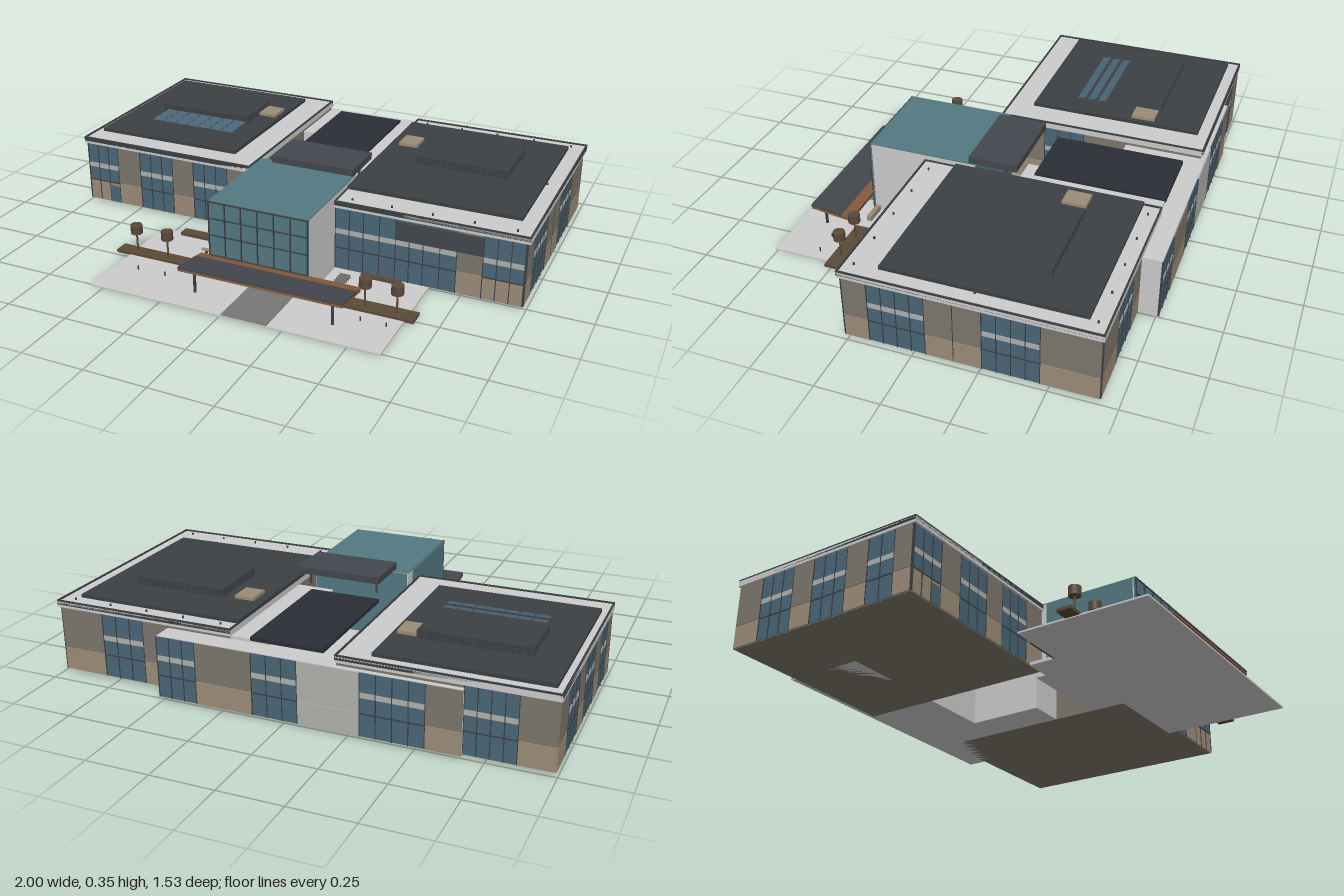
import * as THREE from 'three';

const material = (color) => new THREE.MeshStandardMaterial({ color });
const M = {
  grey: material(0xcccccc), pale: material(0xb0b0ad), taupe: material(0x7d776c), tan: material(0x9c8c78),
  glass: material(0x4a6677), lobbyGlass: material(0x547882), dark: material(0x3c4042),
  slate: material(0x43474d), black: material(0x2b2e35), wood: material(0x5a4a38),
  copper: material(0x85593a), path: material(0x777777),
};

// Box given by its extents along x, y and z
function block(parent, name, [x0, x1], [y0, y1], [z0, z1], mat) {
  const mesh = new THREE.Mesh(new THREE.BoxGeometry(x1 - x0, y1 - y0, z1 - z0), mat);
  mesh.position.set((x0 + x1) / 2, (y0 + y1) / 2, (z0 + z1) / 2);
  mesh.name = name;
  parent.add(mesh);
  return mesh;
}

// Upright round part
function post(parent, name, x, z, [y0, y1], r, mat, sides = 10) {
  const mesh = new THREE.Mesh(new THREE.CylinderGeometry(r, r, y1 - y0, sides), mat);
  mesh.position.set(x, (y0 + y1) / 2, z);
  mesh.name = name;
  parent.add(mesh);
}

// Row of bays on one wall: axis is the wall's normal, dir its sign.
// Bay codes: G glazing, H glazing above a solid base, T cladding, P pale cladding.
function facade(parent, name, axis, dir, plane, top, edges, codes) {
  const g = new THREE.Group();
  g.name = name;
  const panel = (part, u, y, mat, depth) => {
    const d = [plane - 0.002, plane + 0.002];
    d[dir > 0 ? 1 : 0] = plane + dir * depth;
    if (axis === 'z') block(g, part, u, y, d, mat);
    else block(g, part, d, y, u, mat);
  };
  [...codes].forEach((code, i) => {
    const [a, b] = [edges[i], edges[i + 1]];
    if (code === 'T' || code === 'P') {
      panel('upperCladding', [a, b], [0.107, top], code === 'T' ? M.taupe : M.pale, 0.005);
      panel('baseCladding', [a, b], [0.015, 0.105], code === 'T' ? M.tan : M.pale, 0.005);
      panel('claddingJoint', [b - 0.0015, b + 0.0015], [0.015, top], M.dark, 0.006);
      return;
    }
    panel('upperWindow', [a, b], [0.185, top], M.glass, 0.003);
    panel('spandrel', [a, b], [0.165, 0.185], M.pale, 0.005);
    panel('middleWindow', [a, b], [0.107, 0.165], M.glass, 0.003);
    panel('transom', [a, b], [0.102, 0.107], M.dark, 0.005);
    panel('base', [a, b], [0.015, 0.102], code === 'H' ? M.tan : M.glass, 0.003);
    const n = Math.max(2, Math.round((b - a) / 0.054));
    for (let k = 0; k <= n; k++) {
      const u = a + ((b - a) * k) / n;
      panel('mullion', [u - 0.0015, u + 0.0015], [0.015, top], M.dark, 0.006);
    }
  });
  parent.add(g);
}

// Flat roof with a dark rim, raised membrane, plant enclosure and hatch
function roof(parent, x, z, membrane, plant, hatch) {
  const g = new THREE.Group();
  g.name = 'wingRoof';
  block(g, 'roofSlab', x, [0.275, 0.298], z, M.grey);
  const t = 0.006;
  for (const e of [[x[0], x[0] + t], [x[1] - t, x[1]]]) block(g, 'roofRim', e, [0.285, 0.304], z, M.dark);
  for (const e of [[z[0], z[0] + t], [z[1] - t, z[1]]]) block(g, 'roofRim', x, [0.285, 0.304], e, M.dark);
  block(g, 'roofMembrane', membrane[0], [0.298, 0.312], membrane[1], M.dark);
  block(g, 'plantEnclosure', plant[0], [0.312, 0.345], plant[1], M.dark);
  for (let k = 0; k <= 14; k++) {
    const u = plant[0][0] + ((plant[0][1] - plant[0][0]) * k) / 14;
    block(g, 'plantRib', [u - 0.002, u + 0.002], [0.314, 0.343], [plant[1][0] - 0.003, plant[1][1] + 0.003], M.slate);
  }
  block(g, 'roofHatch', hatch[0], [0.312, 0.325], hatch[1], M.tan);
  parent.add(g);
}

export function createModel() {
  const model = new THREE.Group();
  model.name = 'officeBuilding';

  // West wing
  const west = new THREE.Group();
  west.name = 'westWing';
  model.add(west);
  block(west, 'wingBody', [-0.99, -0.205], [0.012, 0.28], [-0.742, 0.1], M.taupe);
  facade(west, 'frontFacade', 'z', 1, 0.1, 0.275, [-0.99, -0.84, -0.73, -0.57, -0.47, -0.31, -0.205], 'HTGTGT');
  facade(west, 'sideFacade', 'x', -1, -0.99, 0.275, [-0.742, -0.62, -0.46, -0.36, -0.2, -0.1, 0.02, 0.1], 'TGTGTGT');
  facade(west, 'rearFacade', 'z', -1, -0.742, 0.275, [-0.99, -0.86, -0.67], 'TG');
  facade(west, 'courtFacade', 'x', 1, -0.205, 0.275, [-0.42, -0.25, -0.08, 0.1], 'TGT');
  block(west, 'sideDoorGlass', [-0.89, -0.84], [0.015, 0.09], [0.1, 0.106], M.glass);
  roof(west, [-1, -0.2], [-0.75, 0.113], [[-0.97, -0.32], [-0.7, 0.01]],
    [[-0.84, -0.42], [-0.52, -0.29]], [[-0.42, -0.34], [-0.51, -0.415]]);
  // Rows of solar panels
  for (let r = 0; r < 3; r++) for (let c = 0; c < 7; c++) {
    const x = -0.815 + c * 0.057, z = -0.28 + r * 0.045;
    const p = block(west, 'solarPanel', [x, x + 0.052], [0.32, 0.323], [z, z + 0.034], M.glass);
    p.rotation.x = 0.2;
    block(west, 'solarPanelStand', [x + 0.02, x + 0.03], [0.31, 0.322], [z + 0.012, z + 0.018], M.dark);
  }

  // East wing
  const east = new THREE.Group();
  east.name = 'eastWing';
  model.add(east);
  block(east, 'wingBody', [0.245, 0.985], [0.012, 0.28], [-0.68, 0.26], M.taupe);
  block(east, 'innerBody', [0.09, 0.245], [0.012, 0.275], [-0.68, -0.11], M.grey);
  facade(east, 'frontFacade', 'z', 1, 0.26, 0.275, [0.245, 0.36, 0.49, 0.6, 0.73, 0.83, 0.985], 'GGGGTH');
  block(east, 'frontSignBand', [0.495, 0.83], [0.19, 0.265], [0.258, 0.272], M.slate);
  facade(east, 'sideFacade', 'x', 1, 0.985, 0.275, [-0.68, -0.47, -0.26, -0.155, -0.05, 0.165, 0.26], 'TGTTGT');
  facade(east, 'rearFacade', 'z', -1, -0.68, 0.275, [0.51, 0.62, 0.8, 0.985], 'TGT');
  roof(east, [0.24, 1], [-0.69, 0.272], [[0.24, 0.935], [-0.62, 0.14]],
    [[0.41, 0.79], [-0.44, -0.175]], [[0.28, 0.36], [-0.43, -0.335]]);
  for (const z of [-0.65, -0.22, 0.23]) for (const x of [0.3, 0.46, 0.62, 0.78, 0.94]) {
    if (z !== -0.22 || x > 0.9) post(east, 'roofVent', x, z, [0.296, 0.306], 0.004, M.dark, 8);
  }

  // Rear link between the wings, over an open courtyard
  const link = new THREE.Group();
  link.name = 'rearLink';
  model.add(link);
  block(link, 'linkBody', [-0.67, 0.51], [0.012, 0.262], [-0.76, -0.43], M.grey);
  facade(link, 'rearFacade', 'z', -1, -0.76, 0.26,
    [-0.67, -0.54, -0.3, -0.06, 0.12, 0.35, 0.51], 'TGPGTG');
  block(link, 'linkRoof', [-0.13, 0.16], [0.27, 0.285], [-0.685, -0.16], M.black);

  // Glazed entrance lobby
  const lobby = new THREE.Group();
  lobby.name = 'lobby';
  model.add(lobby);
  block(lobby, 'lobbyBody', [-0.17, 0.242], [0.01, 0.322], [0.06, 0.505], M.grey);
  block(lobby, 'lobbyTop', [-0.17, 0.242], [0.322, 0.326], [0.06, 0.51], M.lobbyGlass);
  block(lobby, 'curtainWall', [-0.17, 0.242], [0.01, 0.322], [0.505, 0.512], M.lobbyGlass);
  block(lobby, 'rearGlass', [-0.165, 0.237], [0.015, 0.32], [0.055, 0.06], M.lobbyGlass);
  block(lobby, 'westGlass', [-0.174, -0.17], [0.015, 0.322], [0.11, 0.5], M.lobbyGlass);
  for (let k = 0; k <= 6; k++) {
    const x = -0.168 + k * 0.068;
    block(lobby, 'mullion', [x - 0.002, x + 0.002], [0.01, 0.325], [0.508, 0.517], M.dark);
  }
  for (const y of [0.1, 0.185, 0.255, 0.322]) {
    block(lobby, 'transom', [-0.17, 0.242], [y - 0.002, y + 0.002], [0.508, 0.516], M.dark);
  }
  block(lobby, 'doorFrame', [-0.035, 0.105], [0.01, 0.073], [0.512, 0.518], M.grey);
  for (const x of [-0.03, 0.004, 0.038, 0.072]) {
    block(lobby, 'doorLeaf', [x, x + 0.029], [0.012, 0.067], [0.514, 0.52], M.lobbyGlass);
  }
  block(lobby, 'upperRoof', [-0.11, 0.242], [0.327, 0.355], [-0.115, 0.085], M.slate);
  for (const x of [-0.08, 0.21]) post(lobby, 'roofSupport', x, -0.06, [0.27, 0.33], 0.005, M.dark, 8);
  block(lobby, 'sideTerrace', [-0.29, -0.17], [0.005, 0.018], [0.11, 0.285], M.grey);

  // Sloping entrance canopy
  const canopy = new THREE.Group();
  canopy.name = 'entranceCanopy';
  canopy.position.set(0.12, 0.102, 0.597);
  canopy.rotation.x = -0.13;
  block(canopy, 'canopyDeck', [-0.33, 0.33], [0, 0.008], [-0.045, 0.09], M.slate);
  block(canopy, 'canopySoffit', [-0.33, 0.33], [-0.01, 0], [-0.088, 0.087], M.copper);
  block(canopy, 'canopyBackStrip', [-0.33, 0.33], [0, 0.007], [-0.088, -0.045], M.copper);
  model.add(canopy);
  for (const x of [-0.16, 0.4]) post(model, 'canopyColumn', x, 0.65, [0.008, 0.104], 0.006, M.dark, 8);

  // Forecourt, planting and street furniture
  const court = new THREE.Group();
  court.name = 'forecourt';
  model.add(court);
  block(court, 'paving', [-0.55, 0.625], [0, 0.007], [0.23, 0.76], M.grey);
  block(court, 'entrancePath', [0.005, 0.19], [0.007, 0.009], [0.52, 0.758], M.path);
  block(court, 'westPlanter', [-0.61, -0.29], [0.004, 0.016], [0.432, 0.49], M.wood);
  block(court, 'eastPlanter', [0.385, 0.66], [0.004, 0.016], [0.455, 0.525], M.wood);
  block(court, 'sidePlanter', [-0.45, -0.29], [0.006, 0.02], [0.215, 0.258], M.wood);
  block(court, 'wallPlanter', [0.36, 0.52], [0.006, 0.02], [0.264, 0.284], M.wood);
  for (const [x, z] of [[-0.53, 0.46], [-0.39, 0.46], [0.46, 0.49], [0.585, 0.49]]) {
    post(court, 'treeTrunk', x, z, [0.01, 0.1], 0.004, M.wood, 8);
    post(court, 'treeCrown', x, z, [0.093, 0.13], 0.024, M.wood, 12);
  }
  block(court, 'benchSeat', [-0.295, -0.17], [0.02, 0.026], [0.348, 0.362], M.tan);
  for (const x of [-0.28, -0.19]) block(court, 'benchLeg', [x, x + 0.008], [0.006, 0.02], [0.35, 0.36], M.dark);
  block(court, 'westEntranceWall', [-0.235, -0.17], [0.006, 0.03], [0.485, 0.505], M.tan);
  block(court, 'eastEntranceWall', [0.242, 0.33], [0.006, 0.03], [0.485, 0.505], M.tan);
  block(court, 'terraceWall', [-0.29, -0.235], [0.015, 0.038], [0.275, 0.285], M.tan);
  for (let k = 0; k < 6; k++) {
    const z = 0.31 + k * 0.018;
    block(court, 'bicycleRack', [0.285, 0.33], [0.007, 0.022], [z, z + 0.003], M.path);
  }
  for (const x of [-0.45, -0.33, 0.48, 0.58]) post(court, 'bollard', x, 0.585, [0.007, 0.024], 0.003, M.dark, 8);
  return model;
}
